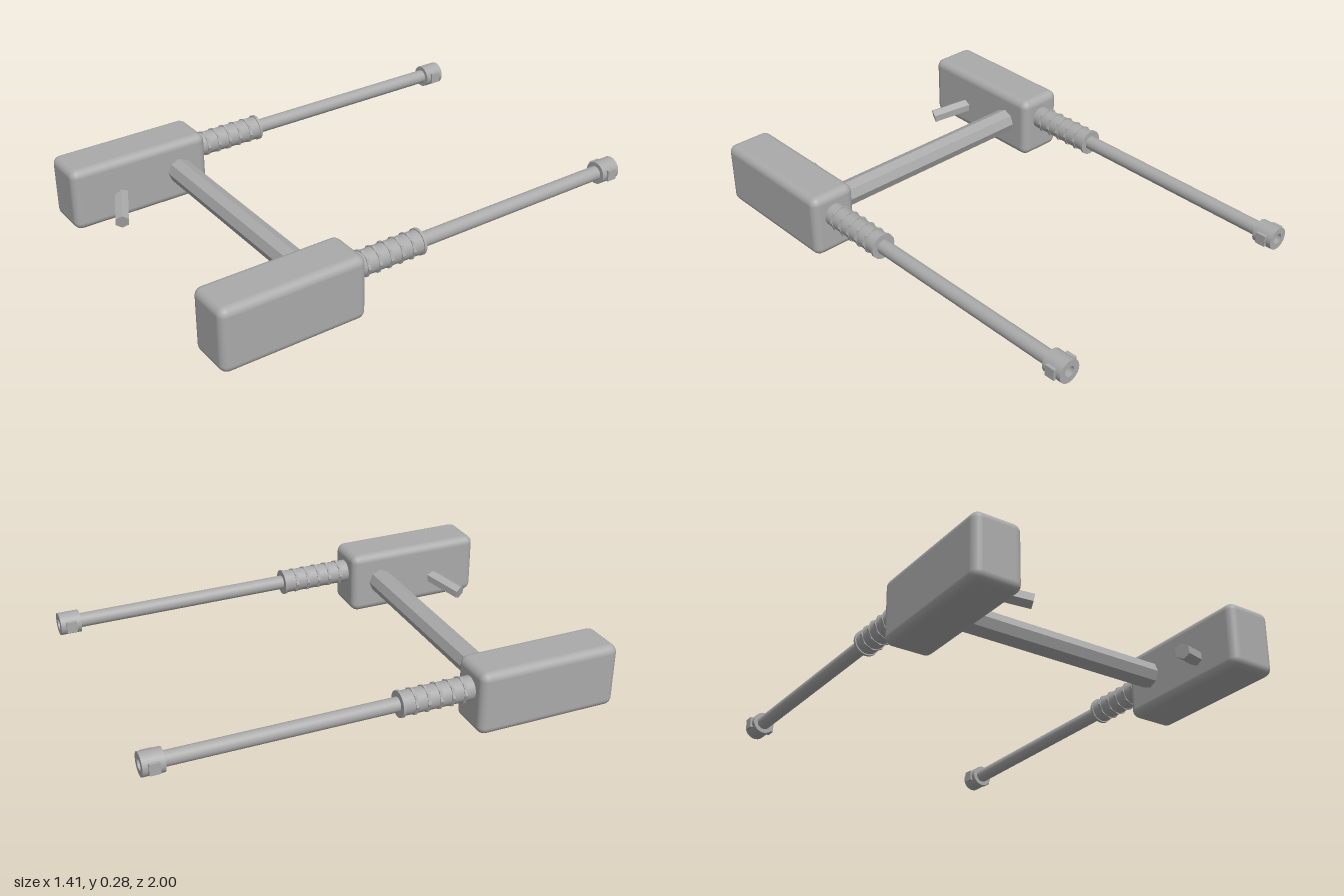
import * as THREE from 'three';
import { RoundedBoxGeometry } from 'three/addons/geometries/RoundedBoxGeometry.js';

const grey = new THREE.MeshStandardMaterial({ color: 0xaaaaaa });
grey.name = 'grey metal';
const facetedGrey = grey;

function add(parent, name, geometry, x = 0, y = 0, z = 0) {
  const mesh = new THREE.Mesh(geometry, facetedGrey);
  mesh.name = name;
  mesh.position.set(x, y, z);
  parent.add(mesh);
  return mesh;
}

// Prism or rod between two points; few sides give hard facets.
function rod(parent, name, a, b, radius, sides) {
  const from = new THREE.Vector3(...a), to = new THREE.Vector3(...b);
  let geometry = new THREE.CylinderGeometry(radius, radius, from.distanceTo(to), sides);
  if (sides <= 8) {
    geometry = geometry.toNonIndexed();
    geometry.computeVertexNormals();
  }
  const mesh = add(parent, name, geometry);
  mesh.position.copy(from).add(to).multiplyScalar(0.5);
  mesh.quaternion.setFromUnitVectors(new THREE.Vector3(0, 1, 0), to.sub(from).normalize());
  return mesh;
}

function createGun(side) {
  const gun = new THREE.Group();
  gun.name = side > 0 ? 'leftGun' : 'rightGun';
  const x = side * 0.6, y = 0.178;

  // Rounded housing
  add(gun, 'housing', new RoundedBoxGeometry(0.208, 0.28, 0.634, 4, 0.035), x, 0.14, 0.683);

  // Barrel, ribbed jacket and its end collar
  rod(gun, 'barrel', [x, y, 0.1], [x, y, -0.93], 0.031, 24);
  rod(gun, 'barrelJacket', [x, y, 0.4], [x, y, 0.05], 0.051, 24);
  for (let i = 0; i < 5; i++) {
    const z = 0.322 - i * 0.054;
    rod(gun, 'jacketRib', [x, y, z + 0.006], [x, y, z - 0.006], 0.057, 8);
  }
  rod(gun, 'jacketCollar', [x, y, 0.058], [x, y, 0.046], 0.056, 24);

  // Hollow muzzle turned around the barrel axis
  const edges = [[0.02, -0.91], [0.049, -0.91], [0.049, -1], [0.023, -1], [0.023, -0.96], [0, -0.96]];
  for (let i = 0; i < edges.length - 1; i++) {
    const points = [edges[i], edges[i + 1]].map(([r, z]) => new THREE.Vector2(r, -z));
    const ring = new THREE.LatheGeometry(points, 24);
    ring.rotateX(-Math.PI / 2);
    add(gun, 'muzzle', ring, x, y, 0);
  }
  // Raised ports on both sides of the muzzle
  for (const s of [-1, 1]) {
    add(gun, 'muzzlePort', new THREE.BoxGeometry(0.016, 0.048, 0.045), x + s * 0.049, y, -0.955);
  }

  // Angled lever on the inner face
  rod(gun, 'lever', [side * 0.56, 0.123, 0.755], [side * 0.357, 0.073, 0.857], 0.032, 6);
  return gun;
}

export function createModel() {
  const model = new THREE.Group();
  model.name = 'twinGuns';
  model.add(createGun(1), createGun(-1));
  // Octagonal bar joining the housings
  rod(model, 'crossbar', [-0.53, 0.145, 0.503], [0.53, 0.145, 0.503], 0.055, 8);
  return model;
}
